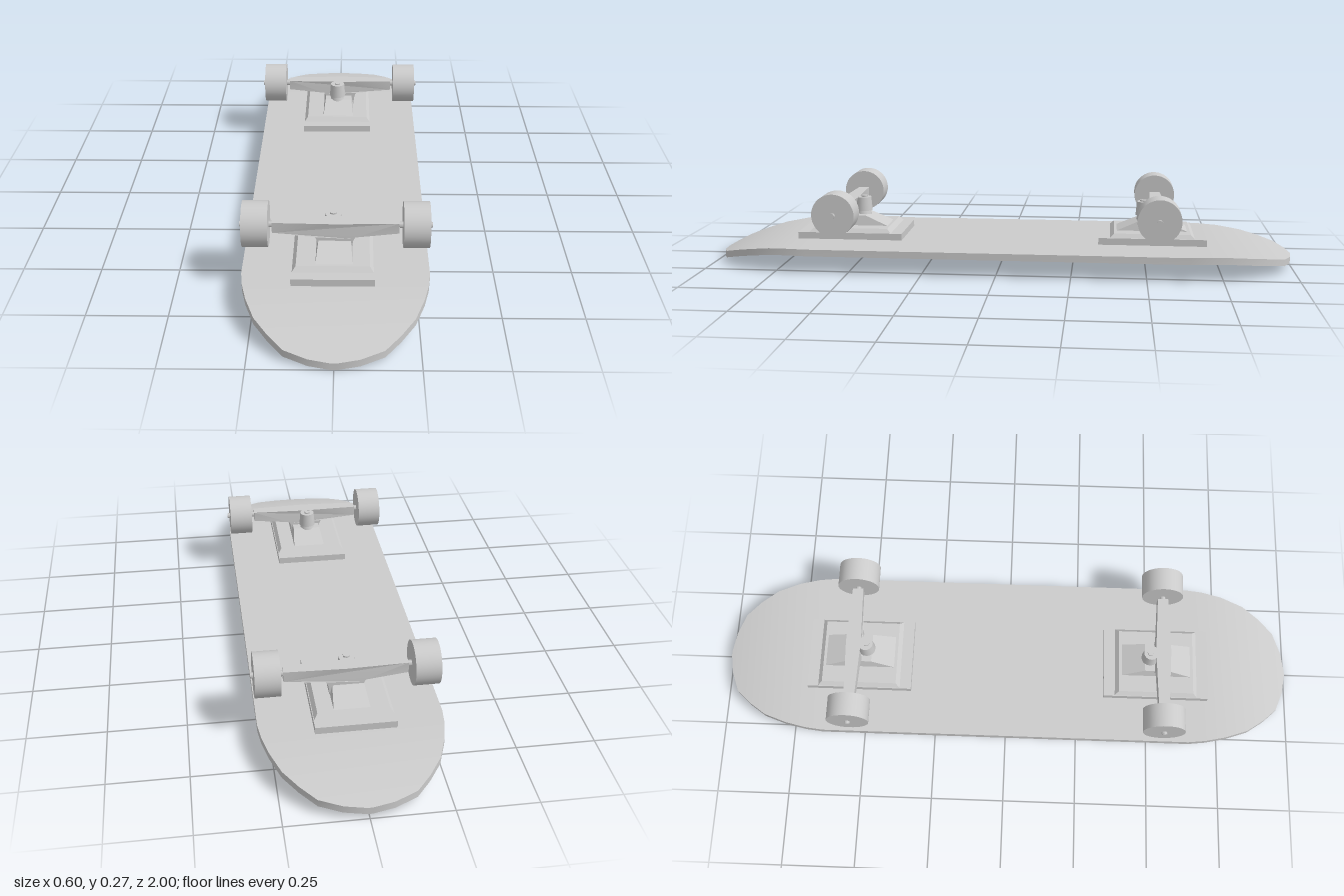
import * as THREE from 'three';
import { toCreasedNormals } from 'three/addons/utils/BufferGeometryUtils.js';

const material = new THREE.MeshStandardMaterial({ color: 0xcccccc });

function add(parent, name, geometry, x = 0, y = 0, z = 0) {
  const mesh = new THREE.Mesh(geometry, material);
  mesh.name = name;
  mesh.position.set(x, y, z);
  parent.add(mesh);
  return mesh;
}

// Box whose top face is scaled to (topW, topD)
function taperedBox(w, h, d, topW, topD) {
  const g = new THREE.BoxGeometry(w, h, d).toNonIndexed();
  const p = g.attributes.position;
  for (let i = 0; i < p.count; i++) {
    if (p.getY(i) > 0) {
      p.setX(i, Math.sign(p.getX(i)) * topW / 2);
      p.setZ(i, Math.sign(p.getZ(i)) * topD / 2);
    }
  }
  g.computeVertexNormals();
  return g;
}

// Cylinder lying along x
function axial(radius, length, sides) {
  return new THREE.CylinderGeometry(radius, radius, length, sides).rotateZ(Math.PI / 2);
}

// Deck: rows across the board, narrowed and bent at both ends
function deckGeometry() {
  const half = [[0, 0.288], [0.64, 0.288], [0.70, 0.281], [0.77, 0.265], [0.85, 0.235],
    [0.91, 0.192], [0.96, 0.145], [0.988, 0.075], [1, 0.008]];
  const n = half.length - 1;
  const g = new THREE.BoxGeometry(2, 0.023, 2 * n, 2, 1, 2 * n);
  const p = g.attributes.position;
  for (let i = 0; i < p.count; i++) {
    const row = Math.round(p.getZ(i));
    const [z, w] = half[Math.abs(row)];
    const t = Math.max(0, (z - 0.7) / 0.3);
    const drop = (row > 0 ? 0.06 : 0.042) * t * t;
    p.setXYZ(i, p.getX(i) * w, p.getY(i) + 0.0715 - drop, z * Math.sign(row));
  }
  return toCreasedNormals(g, 0.5);
}

// Hanger: front outline extruded, thinner towards its ends
function hangerGeometry() {
  const s = new THREE.Shape();
  s.moveTo(-0.197, 0.178);
  s.lineTo(-0.065, 0.166);
  s.quadraticCurveTo(-0.055, 0.155, -0.055, 0.12);
  s.lineTo(0.05, 0.12);
  s.quadraticCurveTo(0.05, 0.155, 0.06, 0.166);
  s.lineTo(0.195, 0.178);
  s.lineTo(0.195, 0.213);
  s.lineTo(0, 0.214);
  s.lineTo(-0.197, 0.213);
  const g = new THREE.ExtrudeGeometry(s, { depth: 0.052, bevelEnabled: false, curveSegments: 5 });
  g.translate(0, 0, -0.026);
  const p = g.attributes.position;
  for (let i = 0; i < p.count; i++) {
    p.setZ(i, p.getZ(i) * (1 - 1.5 * Math.abs(p.getX(i))));
  }
  g.computeVertexNormals();
  return toCreasedNormals(g, 0.5);
}

// Truck facing +z; the kingpin sits on the side towards the board's middle
function truck(name, offset) {
  const t = new THREE.Group();
  t.name = name;
  const zc = -0.016;
  add(t, 'basePlate', new THREE.BoxGeometry(0.253, 0.024, 0.366), offset, 0.094, zc);
  add(t, 'raisedPlate', taperedBox(0.25, 0.015, 0.29, 0.225, 0.26), offset, 0.1125, zc);
  add(t, 'pedestal', taperedBox(0.115, 0.036, 0.25, 0.1, 0.085), offset / 2, 0.136, zc);
  add(t, 'hanger', hangerGeometry());

  // Kingpin boss and nut
  add(t, 'kingpinBoss', new THREE.CylinderGeometry(0.026, 0.03, 0.048, 16), offset, 0.189, -0.042);
  add(t, 'kingpinNeck', new THREE.CylinderGeometry(0.022, 0.035, 0.05, 16), offset, 0.145, -0.042);
  add(t, 'kingpinNut', new THREE.CylinderGeometry(0.012, 0.012, 0.008, 6), offset, 0.214, -0.045);

  // Axle with a wheel and a nut on each end
  add(t, 'axle', axial(0.008, 0.596, 12), 0, 0.199, 0);
  for (const side of [1, -1]) {
    add(t, 'wheel', axial(0.072, 0.081, 36), side * 0.248, 0.2, 0);
    add(t, 'axleNut', axial(0.01, 0.008, 6), side * 0.292, 0.199, 0);
    add(t, 'axleSpacer', axial(0.01, 0.011, 6), side * 0.202, 0.199, 0);
  }
  return t;
}

export function createModel() {
  const model = new THREE.Group();
  model.name = 'upturnedSkateboard';
  add(model, 'deck', deckGeometry());

  const front = truck('frontTruck', -0.008);
  front.position.z = 0.541;
  const rear = truck('rearTruck', 0.008);
  rear.rotation.y = Math.PI;
  rear.position.z = -0.537;
  model.add(front, rear);
  return model;
}
